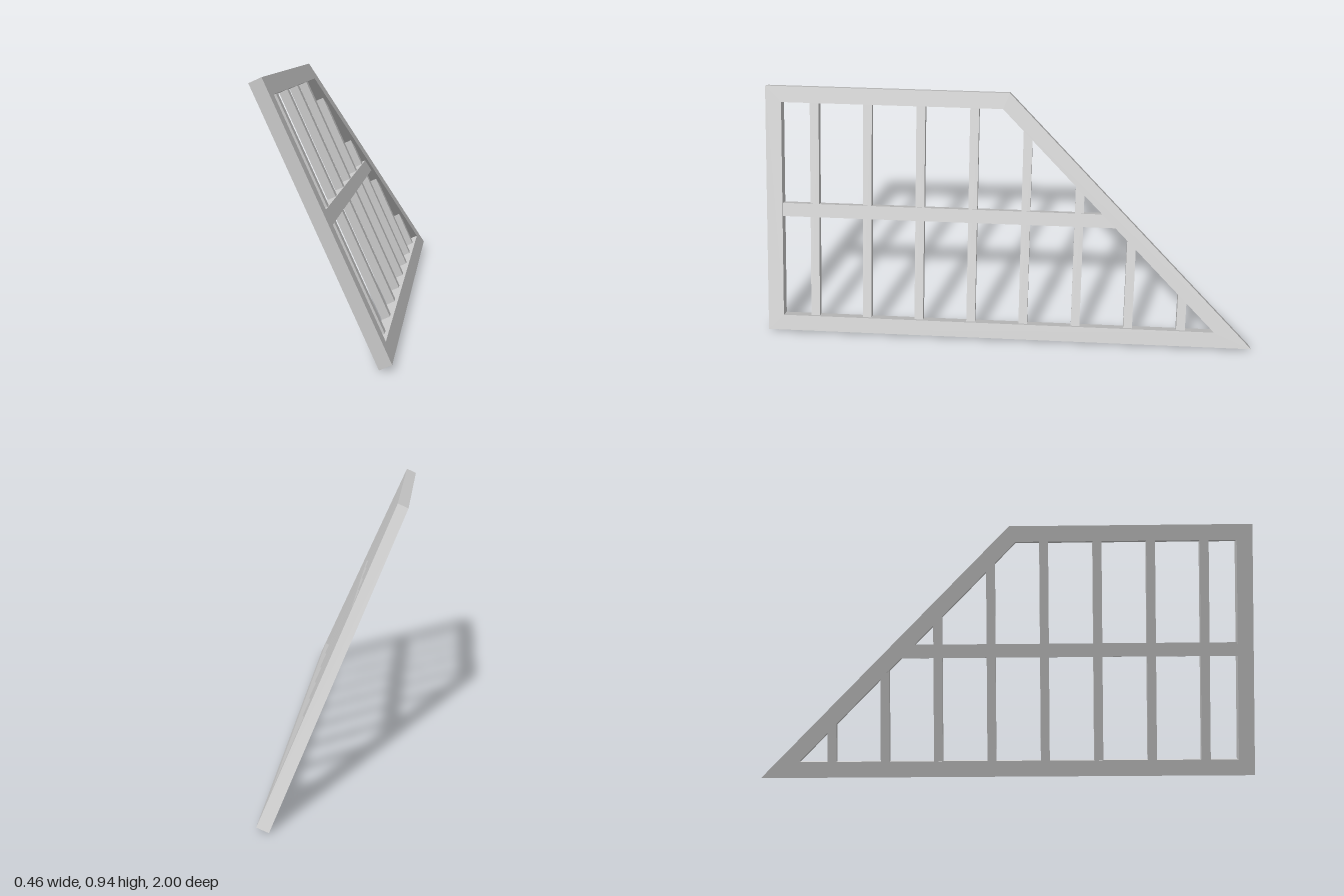
import * as THREE from 'three';

const material = new THREE.MeshStandardMaterial({ color: 0xcccccc, flatShading: true });

// Panel space: x runs to the pointed end, y up the slope, z out of the front face
const HEIGHT = 1.015;
const WIDTH = 0.064;        // frame board width
const HALF = 0.0235;        // half the frame thickness
const TILT = Math.atan2(0.417, 0.925);

// Flat board from a polygon, spanning depths back to front
function board(name, points, back, front) {
  const shape = new THREE.Shape(points.map(([x, y]) => new THREE.Vector2(x, y)));
  const geometry = new THREE.ExtrudeGeometry(shape, { depth: front - back, bevelEnabled: false });
  geometry.translate(0, 0, back);
  const mesh = new THREE.Mesh(geometry, material);
  mesh.name = name;
  return mesh;
}

const rect = (x0, x1, y0, y1) => [[x0, y0], [x1, y0], [x1, y1], [x0, y1]];

export function createModel() {
  const panel = new THREE.Group();
  panel.name = 'leaningPanel';

  // Mitred outer frame; the sloping side lies at 45 degrees
  const slope = WIDTH * Math.SQRT2;
  const outer = [[-1, 0], [1, 0], [1 - HEIGHT, HEIGHT], [-1, HEIGHT]];
  const inner = [
    [-1 + WIDTH, WIDTH],
    [1 - WIDTH - slope, WIDTH],
    [1 - (HEIGHT - WIDTH) - slope, HEIGHT - WIDTH],
    [-1 + WIDTH, HEIGHT - WIDTH],
  ];
  ['bottomRail', 'slopingRail', 'topRail', 'endStile'].forEach((name, i) => {
    const j = (i + 1) % 4;
    panel.add(board(name, [outer[i], outer[j], inner[j], inner[i]], -HALF, HALF));
  });

  // Middle rail, set back a little from the front
  panel.add(board('middleRail', rect(-0.96, 0.43, 0.482, 0.537), -0.023, 0.013));

  // Slats behind the middle rail, cut short under the sloping rail
  for (let i = 0; i < 8; i++) {
    const x = -0.805 + i * 0.2165;
    const top = Math.min(HEIGHT - 0.03, 0.95 - x);
    panel.add(board('slat' + (i + 1), rect(x - 0.018, x + 0.018, 0.03, top), -0.0225, 0.009));
  }

  // Lean the panel back and turn its front face to +x
  panel.rotation.set(-TILT, Math.PI / 2, 0, 'YXZ');
  panel.position.set(0.2085, HALF * Math.sin(TILT), 0);

  const model = new THREE.Group();
  model.name = 'slattedPanel';
  model.add(panel);
  return model;
}
